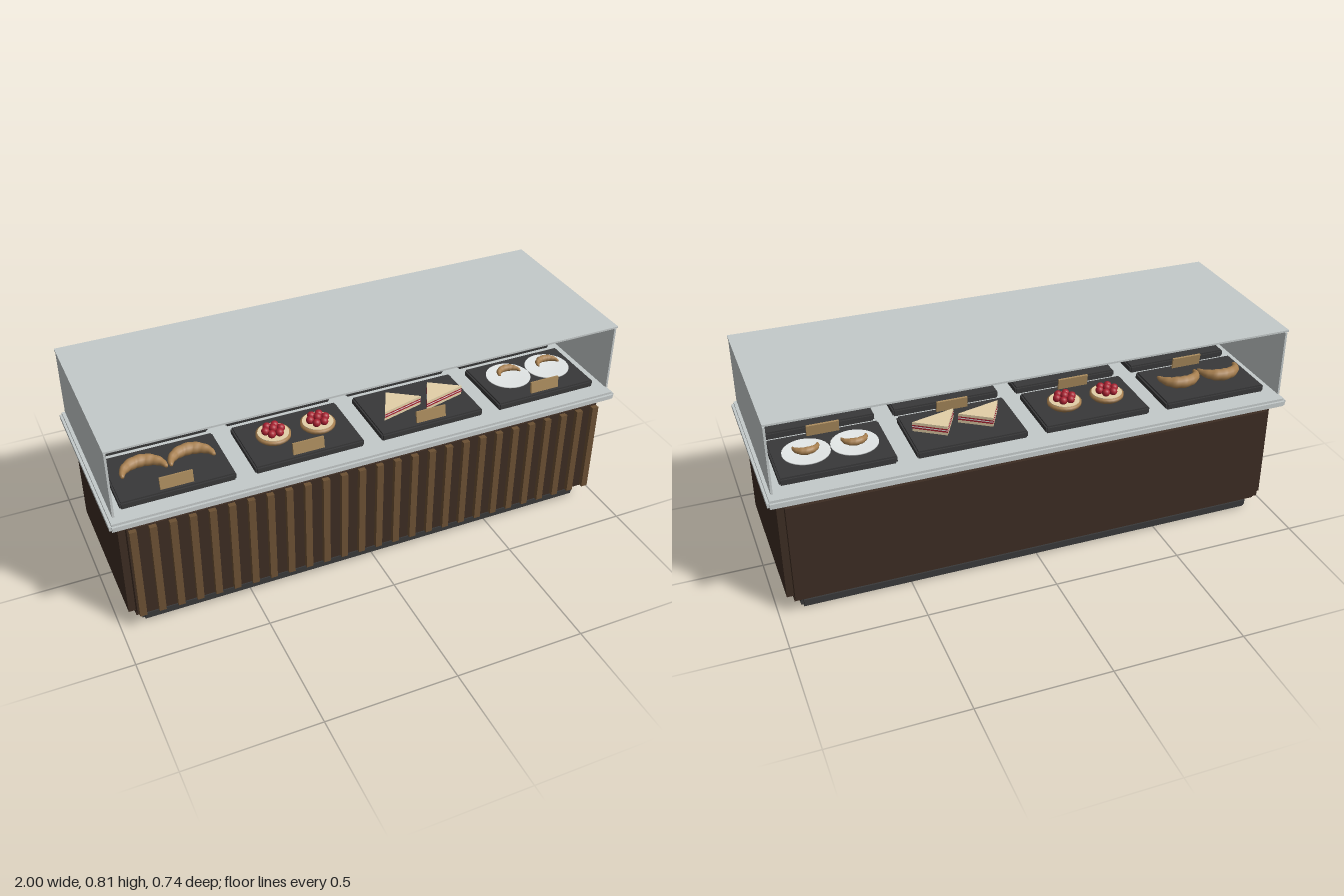
import * as THREE from 'three';

const mat = (name, color, side = THREE.FrontSide) => {
  const m = new THREE.MeshStandardMaterial({ color, side });
  m.name = name;
  return m;
};

export function createModel() {
  const darkWood = mat('dark wood', 0x3c2c22);
  const slatWood = mat('slat wood', 0x6b5033);
  const charcoal = mat('charcoal', 0x383839);
  const stone = mat('pale glass and stone', 0xc4caca);
  const brass = mat('card tan', 0xa98a5c);
  const pastry = mat('baked pastry', 0xa88050);
  const cream = mat('cream bread', 0xe3d0a8);
  const berry = mat('berry red', 0xa82030);
  const white = mat('white china', 0xe4e8e8);
  const lamp = mat('warm lamp', 0xc8b48c);

  const root = new THREE.Group();
  root.name = 'displayCounter';

  const add = (parent, name, geo, material, x = 0, y = 0, z = 0) => {
    const mesh = new THREE.Mesh(geo, material);
    mesh.name = name;
    mesh.position.set(x, y, z);
    parent.add(mesh);
    return mesh;
  };
  const box = (parent, name, w, h, d, material, x, y, z) =>
    add(parent, name, new THREE.BoxGeometry(w, h, d), material, x, y, z);

  // Block with stepped edges: three crossing boxes, each full size on one axis
  const steppedBox = (parent, name, w, h, d, b, material, x, y, z) => {
    const g = new THREE.Group();
    g.name = name;
    g.position.set(x, y, z);
    box(g, name + 'Wide', w, h - 2 * b, d - 2 * b, material, 0, 0, 0);
    box(g, name + 'Tall', w - 2 * b, h, d - 2 * b, material, 0, 0, 0);
    box(g, name + 'Deep', w - 2 * b, h - 2 * b, d, material, 0, 0, 0);
    parent.add(g);
  };

  // Plinth, cabinet and counter top
  steppedBox(root, 'plinth', 1.83, 0.045, 0.61, 0.01, charcoal, 0, 0.0225, 0);
  steppedBox(root, 'cabinet', 1.93, 0.443, 0.674, 0.026, darkWood, 0, 0.2665, 0);
  steppedBox(root, 'counterTop', 2, 0.034, 0.74, 0.009, stone, 0, 0.505, 0);

  // Vertical slats on the front
  for (let i = 0; i < 27; i++) {
    box(root, 'slat', 0.026, 0.385, 0.018, slatWood, -0.921 + i * 0.0712, 0.267, 0.346);
  }

  // Glass canopy, open at front and back, with a lamp strip
  for (const s of [-1, 1]) box(root, 'glassSide', 0.008, 0.26, 0.684, stone, s * 0.977, 0.665, 0);
  box(root, 'glassTop', 1.966, 0.007, 0.696, stone, 0, 0.805, 0);
  box(root, 'lampStrip', 1.89, 0.012, 0.018, lamp, 0, 0.796, -0.309);

  // Crescent: ridged, tapered tube bent along an arc with its tips to the front
  const crescentGeometry = (R, r) => {
    const N = 28, M = 10, pos = [], idx = [];
    for (let i = 0; i <= N; i++) {
      const t = i / N, a = Math.PI * t;
      const ridge = 0.9 + 0.1 * Math.abs(Math.sin(a * 7));
      const k = r * (0.25 + 0.75 * Math.sin(a)) * ridge;
      for (let j = 0; j < M; j++) {
        const b = (j / M) * Math.PI * 2, q = R + k * Math.cos(b);
        pos.push(-Math.cos(a) * q, r * 0.9 + k * Math.sin(b), R * 0.5 - Math.sin(a) * q * 0.9);
        if (i < N) {
          const c = i * M + j, d = i * M + (j + 1) % M;
          idx.push(c, d, c + M, d, d + M, c + M);
        }
      }
    }
    // Close the two tips
    for (let j = 1; j < M - 1; j++) {
      idx.push(0, j + 1, j, N * M, N * M + j, N * M + j + 1);
    }
    const g = new THREE.BufferGeometry();
    g.setAttribute('position', new THREE.Float32BufferAttribute(pos, 3));
    g.setIndex(idx);
    g.computeVertexNormals();
    return g;
  };
  const bigCrescent = crescentGeometry(0.078, 0.025);
  const smallCrescent = crescentGeometry(0.044, 0.015);
  pastry.side = THREE.DoubleSide;

  const makeCroissant = (g) => add(g, 'croissant', bigCrescent, pastry);

  const makeTart = (g) => {
    const crust = [[0, 0], [0.052, 0], [0.065, 0.012], [0.065, 0.022], [0.056, 0.025]]
      .map(p => new THREE.Vector2(...p));
    add(g, 'tartCrust', new THREE.LatheGeometry(crust, 24), pastry);
    add(g, 'tartCream', new THREE.CylinderGeometry(0.058, 0.058, 0.006, 24), cream, 0, 0.024, 0);
    const ball = new THREE.SphereGeometry(0.0155, 12, 8);
    for (let i = 0; i < 6; i++) {
      const a = i * Math.PI / 3;
      add(g, 'berry', ball, berry, Math.cos(a) * 0.03, 0.037, Math.sin(a) * 0.03);
    }
    add(g, 'berry', ball, berry, 0, 0.043, 0);
  };

  // Triangular sandwich in layers, cut face to the front
  const wedge = (h) => {
    const s = new THREE.Shape([[-0.088, -0.045], [0.088, -0.045], [0, 0.055]]
      .map(p => new THREE.Vector2(...p)));
    return new THREE.ExtrudeGeometry(s, { depth: h, bevelEnabled: false }).rotateX(-Math.PI / 2);
  };
  const makeSandwich = (g) => {
    let y = 0;
    for (const [name, h, m] of [['lowerBread', 0.011, cream], ['filling', 0.006, berry],
      ['creamFilling', 0.004, white], ['upperFilling', 0.005, berry], ['upperBread', 0.011, cream]]) {
      add(g, name, wedge(h), m, 0, y, 0);
      y += h;
    }
    g.rotation.y = 0.25;
  };

  const makePlate = (g) => {
    const rim = [[0, 0], [0.05, 0], [0.086, 0.01], [0.086, 0.014], [0.055, 0.009], [0, 0.009]]
      .map(p => new THREE.Vector2(...p));
    add(g, 'plate', new THREE.LatheGeometry(rim, 28), white);
    add(g, 'smallPastry', smallCrescent, pastry, 0, 0.018, -0.01);
  };

  // Two rows of four trays, each with two items and a name card
  const makers = [makeCroissant, makeTart, makeSandwich, makePlate];
  for (const z of [0.165, -0.151]) {
    makers.forEach((make, i) => {
      const tray = new THREE.Group();
      tray.name = 'servingTray';
      tray.position.set(-0.735 + i * 0.489, 0.522, z);
      root.add(tray);
      steppedBox(tray, 'tray', 0.418, 0.03, 0.272, 0.006, charcoal, 0, 0.015, 0);
      for (const s of [-1, 1]) {
        const item = new THREE.Group();
        item.name = 'food';
        item.position.set(s * 0.087, 0.03, -0.01);
        make(item);
        tray.add(item);
      }
      box(tray, 'nameCard', 0.12, 0.048, 0.008, brass, 0, 0.05, 0.112).rotation.x = -0.15;
    });
  }
  return root;
}
